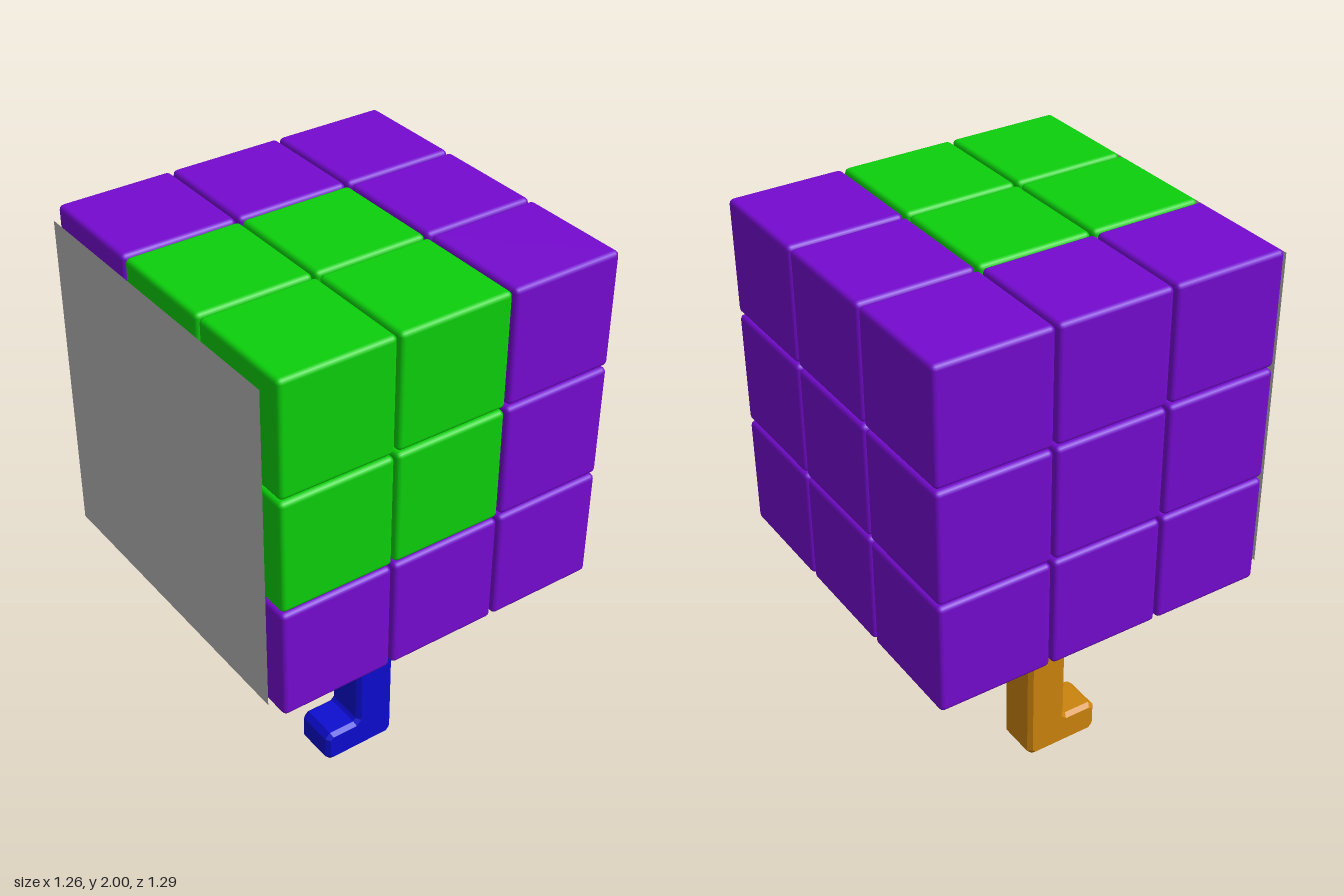
import * as THREE from 'three';
import { RoundedBoxGeometry } from 'three/addons/geometries/RoundedBoxGeometry.js';

function material(name, color, side = THREE.FrontSide) {
  const m = new THREE.MeshStandardMaterial({ color, side });
  m.name = name;
  return m;
}

// L-shaped leg and foot, profile in (z, y), bevelled on every edge
function legGeometry() {
  const b = 0.015, width = 0.165;
  const back = -0.09 + b, shin = 0.065 - b, toe = 0.2 - b;
  const foot = 0.13 - b, top = 0.742 - b, bottom = 0.003 + b, c = 0.012;
  const shape = new THREE.Shape([
    [back + c, bottom], [toe - c, bottom], [toe, bottom + c], [toe, foot - c], [toe - c, foot],
    [shin + 0.02, foot], [shin, foot + 0.02],
    [shin, top - c], [shin - c, top], [back + c, top], [back, top - c], [back, bottom + c],
  ].map(([z, y]) => new THREE.Vector2(z, y)));
  const geometry = new THREE.ExtrudeGeometry(shape, {
    depth: width - 2 * b, bevelEnabled: true, bevelSize: b, bevelThickness: b, bevelSegments: 1,
  });
  geometry.translate(0, -0.003, -width / 2 + b);
  geometry.rotateY(-Math.PI / 2);
  return geometry;
}

export function createModel() {
  const model = new THREE.Group();
  model.name = 'walkingCube';
  const purple = material('purple', 0x750bd0);
  const green = material('green', 0x0cd00c);
  const orange = material('orange', 0xcc840c);
  const blue = material('blue', 0x0c0cd0);
  const grey = material('grey', 0xb8b8b8, THREE.DoubleSide);

  // Body: 3 x 3 x 3 blocks, with a green 2 x 2 x 2 corner at the upper front left
  const body = new THREE.Group();
  body.name = 'body';
  body.position.set(0, 1.371, -0.018);
  const block = new RoundedBoxGeometry(0.413, 0.413, 0.413, 2, 0.017);
  const pitch = 0.4225;
  for (let x = -1; x <= 1; x++) {
    for (let y = -1; y <= 1; y++) {
      for (let z = -1; z <= 1; z++) {
        const isGreen = Math.min(x, y, z) >= 0;
        const mesh = new THREE.Mesh(block, isGreen ? green : purple);
        mesh.name = isGreen ? 'greenBlock' : 'purpleBlock';
        mesh.position.set(x * pitch, y * pitch, z * pitch);
        body.add(mesh);
      }
    }
  }
  model.add(body);

  // Flat face panel just in front of the body
  const panel = new THREE.Mesh(new THREE.PlaneGeometry(1.185, 1.185), grey);
  panel.name = 'facePanel';
  panel.position.set(-0.003, 1.374, 0.645);
  model.add(panel);

  // Legs
  const leg = legGeometry();
  for (const [name, x, mat] of [['leftLeg', 0.198, blue], ['rightLeg', -0.223, orange]]) {
    const mesh = new THREE.Mesh(leg, mat);
    mesh.name = name;
    mesh.position.x = x;
    model.add(mesh);
  }
  return model;
}
